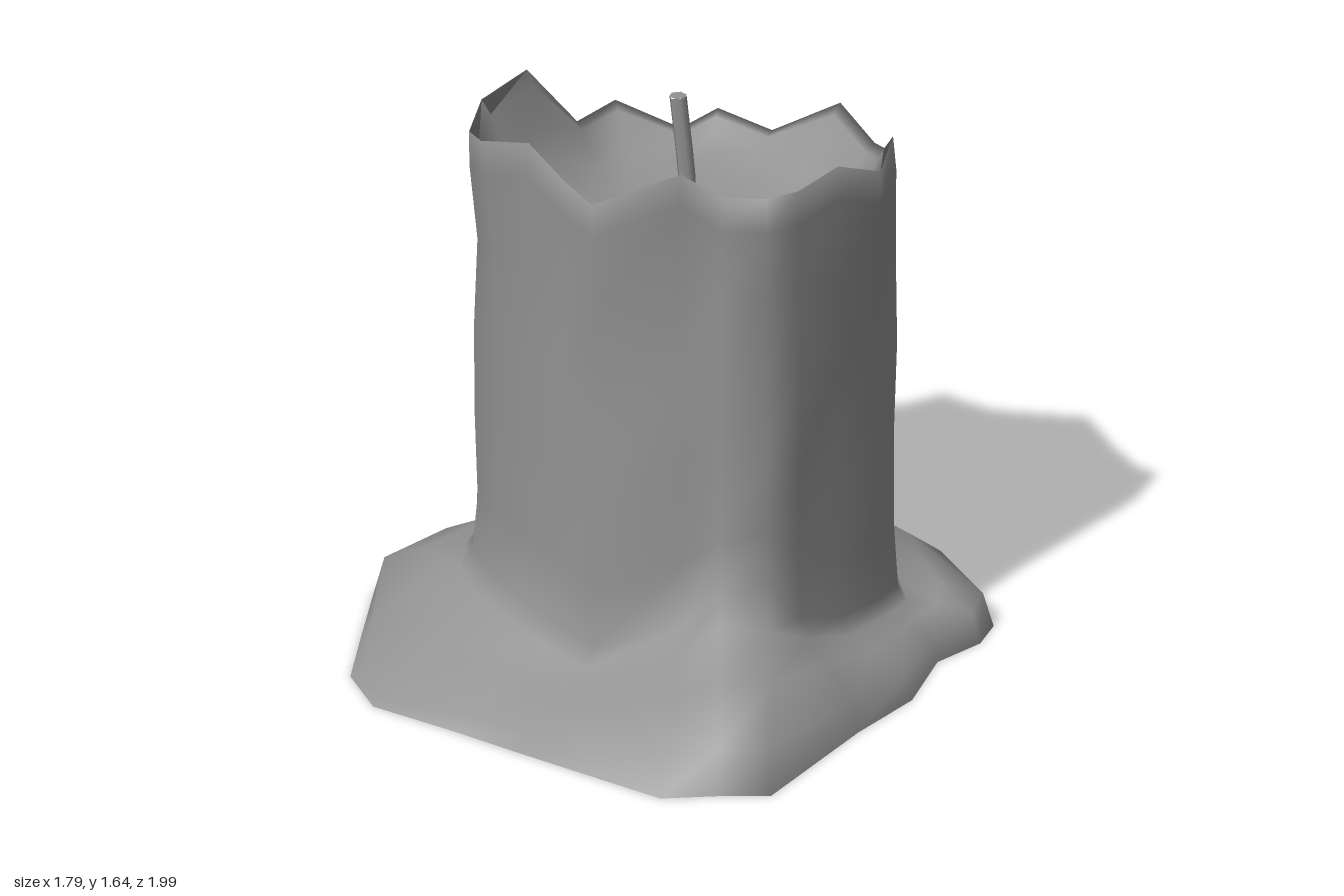
import * as THREE from 'three';

// Columns around the candle: foot x, foot z, wall x, wall z, rim height, foot edge height
const COLUMNS = [
  [0.89, 0.07, 0.62, 0.0, 1.44, 0.1], [0.83, 0.17, 0.61, 0.1, 1.53, 0.09],
  [0.69, 0.26, 0.55, 0.21, 1.48, 0.06], [0.57, 0.48, 0.4, 0.34, 1.57, 0.07],
  [0.38, 0.65, 0.27, 0.41, 1.54, 0.08], [0.06, 0.99, 0.16, 0.5, 1.57, 0.12],
  [-0.08, 0.96, 0.04, 0.47, 1.57, 0.12], [-0.24, 0.94, -0.07, 0.44, 1.64, 0.1],
  [-0.55, 0.58, -0.31, 0.37, 1.54, 0.05], [-0.7, 0.4, -0.36, 0.24, 1.56, 0.04],
  [-0.88, 0.2, -0.43, 0.11, 1.62, 0.02], [-0.9, 0, -0.52, -0.1, 1.54, 0.02],
  [-0.82, -0.23, -0.52, -0.25, 1.5, 0.05], [-0.72, -0.51, -0.46, -0.36, 1.54, 0.11],
  [-0.5, -0.7, -0.3, -0.5, 1.55, 0.09], [-0.33, -0.76, -0.13, -0.62, 1.32, 0.09],
  [-0.07, -0.91, -0.01, -0.67, 1.35, 0.09], [0.13, -0.95, 0.17, -0.64, 1.26, 0.09],
  [0.31, -1, 0.28, -0.66, 1.3, 0.09], [0.57, -0.84, 0.41, -0.55, 1.27, 0.09],
  [0.63, -0.5, 0.56, -0.35, 1.43, 0.1], [0.83, -0.23, 0.62, -0.18, 1.38, 0.1],
];
// Depth of the grooves between the wax drips, by column
const GROOVES = { 0: 0.03, 2: 0.03, 3: 0.02, 6: 0.05, 7: 0.09, 8: 0.06, 9: 0.03, 10: 0.02, 11: 0.08, 12: 0.04, 14: 0.03, 15: 0.1, 16: 0.09, 21: 0.06 };
// Height where the foot meets the wall, by column
const SHOULDERS = { 0: 0.16, 1: 0.14, 2: 0.15, 3: 0.17, 4: 0.22, 5: 0.38, 6: 0.33, 7: 0.22, 8: 0.16, 9: 0.17, 20: 0.23, 21: 0.24 };
const N = COLUMNS.length;
const CX = 0.05, CZ = -0.08;
const POOL_Y = 1.19;
const lerp = THREE.MathUtils.lerp;
const groove = (i) => GROOVES[i] ?? 0;
const shoulder = (i) => SHOULDERS[i] ?? 0.2;

// Skin a list of rings and close the last one at an end point
function loft(rings, end) {
  const pos = rings.flat(2), idx = [];
  for (let j = 0; j < rings.length - 1; j++) {
    for (let i = 0; i < N; i++) {
      const a = j * N + i, b = j * N + (i + 1) % N;
      idx.push(a, a + N, b, b, a + N, b + N);
    }
  }
  const last = (rings.length - 1) * N;
  pos.push(...end);
  for (let i = 0; i < N; i++) idx.push(last + i, rings.length * N, last + (i + 1) % N);
  const geo = new THREE.BufferGeometry();
  geo.setAttribute('position', new THREE.Float32BufferAttribute(pos, 3));
  geo.setIndex(idx);
  geo.computeVertexNormals();
  return geo;
}

// Ring between foot (t = 0) and grooved wall (t = 1)
const footRing = (t, height) => COLUMNS.map(([fx, fz, wx, wz, , edge], i) => {
  const s = 1 - groove(i);
  return [lerp(fx, CX + (wx - CX) * s, t), height(edge, i), lerp(fz, CZ + (wz - CZ) * s, t)];
});

// Ring of the wall scaled about the candle's axis
const wallRing = (scale, height) => COLUMNS.map(([, , wx, wz, top], i) => {
  const s = scale(i);
  return [CX + (wx - CX) * s, height(top, i), CZ + (wz - CZ) * s];
});

export function createModel() {
  const group = new THREE.Group();
  const material = new THREE.MeshStandardMaterial({ color: 0x949494 });
  const add = (name, geo) => {
    const mesh = new THREE.Mesh(geo, material);
    mesh.name = name;
    group.add(mesh);
  };

  // Melted foot
  const rings = [
    footRing(0, () => 0),
    footRing(0.1, (edge) => edge),
    footRing(0.5, (edge, i) => lerp(edge, Math.min(shoulder(i), 0.3), 0.55)),
    footRing(0.87, (edge, i) => Math.min(shoulder(i) - 0.02, 0.29)),
    footRing(0.98, (edge, i) => shoulder(i) + 0.03),
  ];
  // Wall with drips that wander a little on the way up
  for (const t of [0.15, 0.35, 0.55, 0.75]) {
    const wave = (i) => 0.995 - groove(i) + 0.01 * Math.sin(i * 2.4 + t * 9);
    rings.push(wallRing(wave, (top, i) => lerp(shoulder(i), top, t)));
  }
  // Ragged lip
  rings.push(wallRing((i) => 1 - groove(i) * 0.4, (top) => top - 0.1));
  rings.push(wallRing(() => 0.985, (top) => top));
  // Shallow rounded hollow
  for (const [s, t] of [[0.94, 0.12], [0.87, 0.42], [0.77, 0.68], [0.6, 0.87], [0.35, 0.97]]) {
    rings.push(wallRing(() => s, (top) => lerp(top, POOL_Y, t)));
  }
  add('waxBody', loft(rings, [CX, POOL_Y, CZ]));

  // Flat underside, shaded softly round to the foot's edge
  const underside = loft([footRing(0, () => 0).reverse()], [0, 0, 0]);
  const { position, normal } = underside.attributes;
  for (let i = 0; i < N; i++) {
    const n = new THREE.Vector3(position.getX(i), -0.9, position.getZ(i)).normalize();
    normal.setXYZ(i, n.x, n.y, n.z);
  }
  add('underside', underside);

  // Leaning wick
  const path = new THREE.CatmullRomCurve3([
    new THREE.Vector3(0.07, POOL_Y - 0.05, -0.1),
    new THREE.Vector3(0.068, 1.35, -0.1),
    new THREE.Vector3(0.042, 1.62, -0.1),
  ]);
  add('wick', new THREE.TubeGeometry(path, 6, 0.025, 6));
  const tip = new THREE.CircleGeometry(0.025, 6);
  tip.rotateX(-Math.PI / 2).translate(0.042, 1.62, -0.1);
  add('wickTip', tip);

  return group;
}
